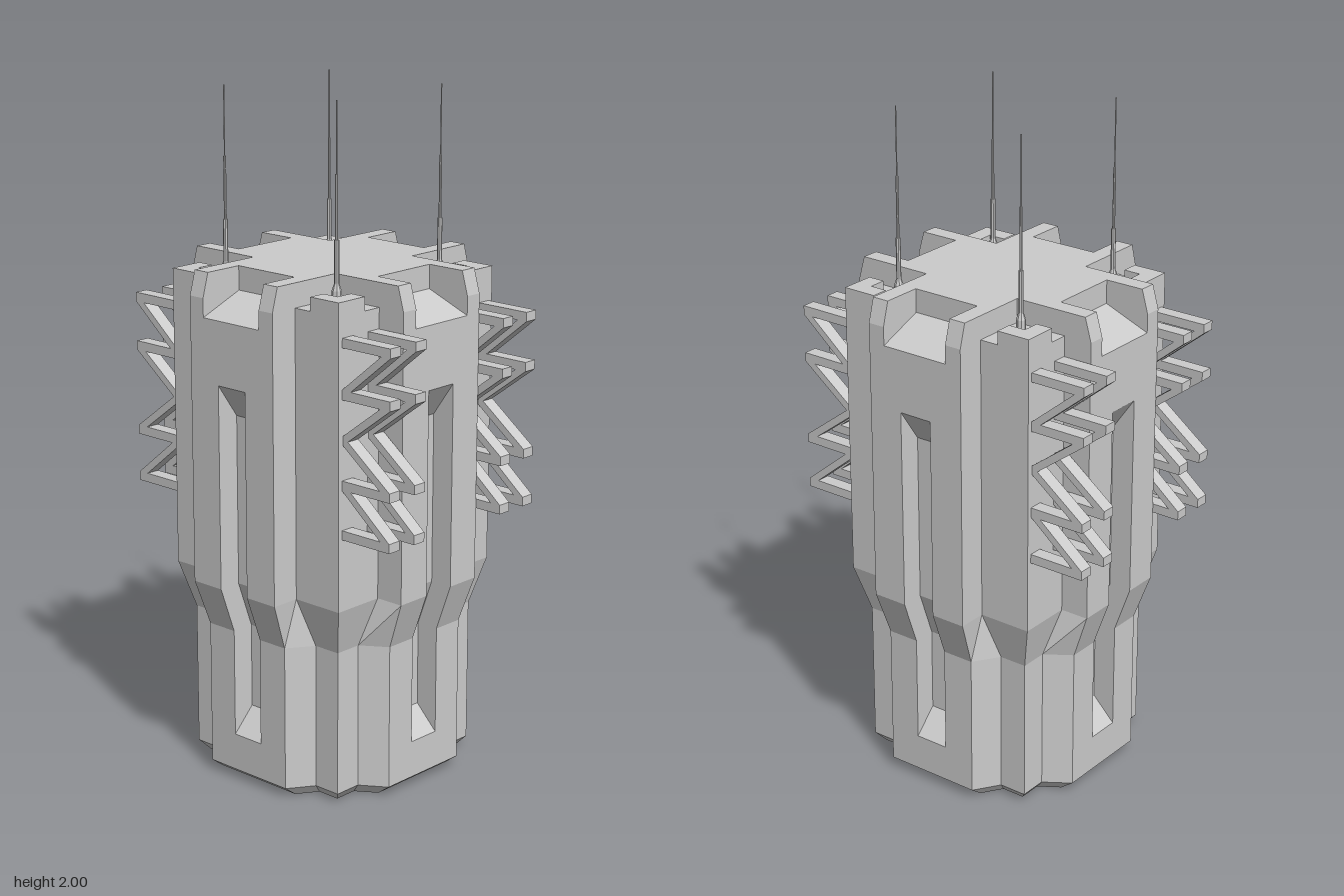
import * as THREE from 'three';

const material = new THREE.MeshStandardMaterial({ color: 0xcccccc, flatShading: true, side: THREE.DoubleSide });

function add(parent, geometry, name) {
  const mesh = new THREE.Mesh(geometry, material);
  mesh.name = name;
  parent.add(mesh);
  return mesh;
}

// Horizontal outline: four arms with a notch and a slot, and four corner blocks.
function outline({ y, out, w, a, c, slot = 0, notch = 0 }) {
  const n = 0.108, s = 0.052;
  const half = [[w, out], [n, out], [n, out - notch], [s, out - notch], [s, out - notch - slot]];
  const quarter = [
    ...half.map(([x, z]) => [-x, z]),
    ...half.slice().reverse(),
    [a, c], [c, c], [c, a],
  ];
  const ring = [];
  for (let k = 0; k < 4; k++) {
    for (const p of quarter) {
      let [x, z] = p;
      for (let r = 0; r < k; r++) [x, z] = [z, -x];
      ring.push(new THREE.Vector3(x, y, z));
    }
  }
  return ring;
}

// Skin between stacked outlines, closed at both ends.
function loft(rings) {
  const pos = [];
  const tri = (p, q, r) => {
    const area = q.clone().sub(p).cross(r.clone().sub(p)).length();
    if (area > 1e-7) for (const v of [p, q, r]) pos.push(v.x, v.y, v.z);
  };
  for (let i = 0; i + 1 < rings.length; i++) {
    const lo = rings[i], hi = rings[i + 1];
    for (let j = 0; j < lo.length; j++) {
      const k = (j + 1) % lo.length;
      tri(lo[j], lo[k], hi[k]);
      tri(lo[j], hi[k], hi[j]);
    }
  }
  const cap = (ring, up) => {
    const pts = ring.filter((p, i) => p.distanceTo(ring[(i + 1) % ring.length]) > 1e-5);
    const flat = pts.map((p) => new THREE.Vector2(p.x, -p.z));
    for (const [p, q, r] of THREE.ShapeUtils.triangulateShape(flat, [])) {
      if (up) tri(pts[p], pts[q], pts[r]);
      else tri(pts[p], pts[r], pts[q]);
    }
  };
  cap(rings[0], false);
  cap(rings[rings.length - 1], true);
  const g = new THREE.BufferGeometry();
  g.setAttribute('position', new THREE.Float32BufferAttribute(pos, 3));
  g.computeVertexNormals();
  return g;
}

function extrude(points, depth) {
  const shape = new THREE.Shape(points.map(([x, y]) => new THREE.Vector2(x, y)));
  return new THREE.ExtrudeGeometry(shape, { depth, bevelEnabled: false });
}

export function createModel() {
  const model = new THREE.Group();
  model.name = 'tower';

  // Main body, from the narrow foot to the bevelled crown
  const foot = { out: 0.36, w: 0.15, a: 0.2, c: 0.285 };
  const upper = { out: 0.41, w: 0.16, a: 0.16, c: 0.322 };
  const slot = 0.07;
  add(model, loft([
    { y: 0, out: 0.32, w: 0.15, a: 0.19, c: 0.26 },
    { ...foot, y: 0.03 },
    { ...foot, y: 0.14 },
    { ...foot, y: 0.21, slot },
    { ...foot, y: 0.46, slot },
    { ...upper, y: 0.6, slot },
    { ...upper, y: 1.1, slot },
    { ...upper, y: 1.2 },
    { ...upper, y: 1.385 },
    { ...upper, y: 1.44, notch: 0.14 },
    { ...upper, y: 1.44, c: 0.16, notch: 0.14 },
    { ...upper, y: 1.51, out: 0.39, c: 0.16, notch: 0.12 },
  ].map(outline)), 'body');

  // Raised corner walls and stepped antennas
  for (let k = 0; k < 4; k++) {
    const corner = new THREE.Group();
    corner.name = 'corner';
    corner.rotation.y = k * Math.PI / 2;
    model.add(corner);

    const o = 0.322;
    const wall = extrude([[0.217, o], [0.217, 0.27], [0.27, 0.27], [0.27, 0.217], [o, 0.217], [o, o]], 0.04);
    wall.rotateX(-Math.PI / 2).translate(0, 1.44, 0);
    add(corner, wall, 'cornerWall');

    const antenna = new THREE.LatheGeometry([
      [0.014, 1.44], [0.014, 1.48], [0.007, 1.5], [0.007, 1.62],
      [0.004, 1.62], [0.004, 1.8], [0.0018, 1.8], [0.0018, 2], [0, 2],
    ].map(([r, y]) => new THREE.Vector2(r, y)), 8);
    add(corner, antenna, 'antenna').position.set(0.215, 0, -0.215);
  }

  // Zigzag fins on both sides, four to a side
  const zigzag = [
    [0.31, 1.367], [0.495, 1.367], [0.32, 1.222], [0.495, 1.222], [0.325, 1.094],
    [0.495, 0.966], [0.32, 0.966], [0.495, 0.823], [0.31, 0.823],
  ];
  for (const side of [0, 1]) {
    const fins = new THREE.Group();
    fins.name = side ? 'rightFins' : 'leftFins';
    fins.rotation.y = side * Math.PI;
    model.add(fins);
    for (const z of [-0.308, -0.205, 0.163, 0.266]) {
      for (let i = 0; i + 1 < zigzag.length; i++) {
        const [p, q] = [zigzag[i], zigzag[i + 1]].sort((m, n) => m[0] - n[0]);
        const t = 0.0135;
        const bar = extrude([[p[0], p[1] - t], [q[0], q[1] - t], [q[0], q[1] + t], [p[0], p[1] + t]], 0.042);
        add(fins, bar, 'finBar').position.z = z;
      }
    }
  }
  return model;
}
